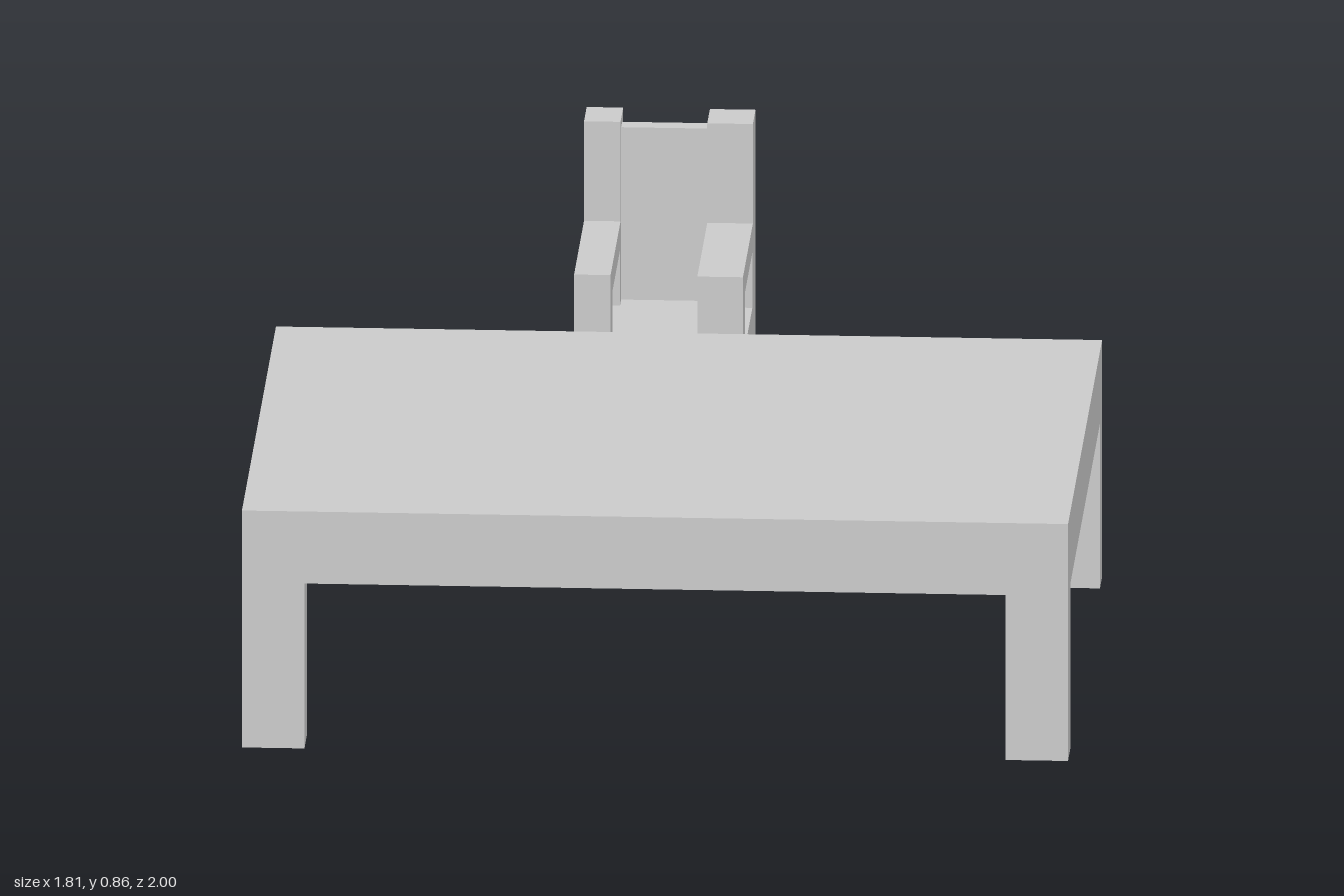
import * as THREE from 'three';

const material = new THREE.MeshStandardMaterial({ color: 0xcccccc, flatShading: true });

// Box given by its [min, max] range on each axis
function box(name, [x0, x1], [y0, y1], [z0, z1]) {
  const geometry = new THREE.BoxGeometry(x1 - x0, y1 - y0, z1 - z0);
  geometry.translate((x0 + x1) / 2, (y0 + y1) / 2, (z0 + z1) / 2);
  const mesh = new THREE.Mesh(geometry, material);
  mesh.name = name;
  return mesh;
}

// Arm support, armrest and back post as one side profile of [z, y] points, extruded across x
function sideFrame(name, [x0, x1]) {
  const profile = [
    [-0.5, 0.44], [-0.5, 0.627], [-0.895, 0.627], [-0.895, 0.855], [-1, 0.855],
    [-1, 0.44], [-0.875, 0.44], [-0.875, 0.567], [-0.58, 0.567], [-0.58, 0.44],
  ];
  const shape = new THREE.Shape(profile.map(([z, y]) => new THREE.Vector2(-z, y)));
  const geometry = new THREE.ExtrudeGeometry(shape, { depth: x1 - x0, bevelEnabled: false });
  geometry.rotateY(Math.PI / 2); // shape x becomes -z, depth becomes +x
  geometry.translate(x0, 0, 0);
  const mesh = new THREE.Mesh(geometry, material);
  mesh.name = name;
  return mesh;
}

function createTable() {
  const table = new THREE.Group();
  table.name = 'table';
  table.add(box('tableTop', [-0.905, 0.905], [0.378, 0.543], [-0.352, 1]));
  for (const [side, x] of [['Right', [-0.905, -0.768]], ['Left', [0.768, 0.905]]]) {
    table.add(box(`tableFrontLeg${side}`, x, [0, 0.378], [0.897, 1]));
    table.add(box(`tableBackLeg${side}`, x, [0, 0.378], [-0.352, -0.268]));
  }
  return table;
}

function createChair() {
  const chair = new THREE.Group();
  chair.name = 'chair';
  const front = [-0.6, -0.5], back = [-1, -0.918];
  chair.add(box('seat', [-0.26, 0.11], [0.357, 0.44], [-1, -0.5]));
  chair.add(box('backPanel', [-0.18, 0.01], [0.44, 0.835], [-0.96, -0.92]));

  // Low rails between the legs
  chair.add(box('frontRail', [-0.2, 0.03], [0.335, 0.357], front));
  chair.add(box('backRail', [-0.2, 0.03], [0.335, 0.357], back));

  // The left side is a little thicker than the right
  const sides = [
    { side: 'Right', leg: [-0.26, -0.2], frame: [-0.26, -0.18] },
    { side: 'Left', leg: [0.03, 0.11], frame: [0.01, 0.11] },
  ];
  for (const { side, leg, frame } of sides) {
    chair.add(box(`chairFrontLeg${side}`, leg, [0, 0.357], front));
    chair.add(box(`chairBackLeg${side}`, leg, [0, 0.357], back));
    chair.add(sideFrame(`armAndBackPost${side}`, frame));
  }
  return chair;
}

export function createModel() {
  const model = new THREE.Group();
  model.name = 'tableAndChair';
  model.add(createTable(), createChair());
  return model;
}
